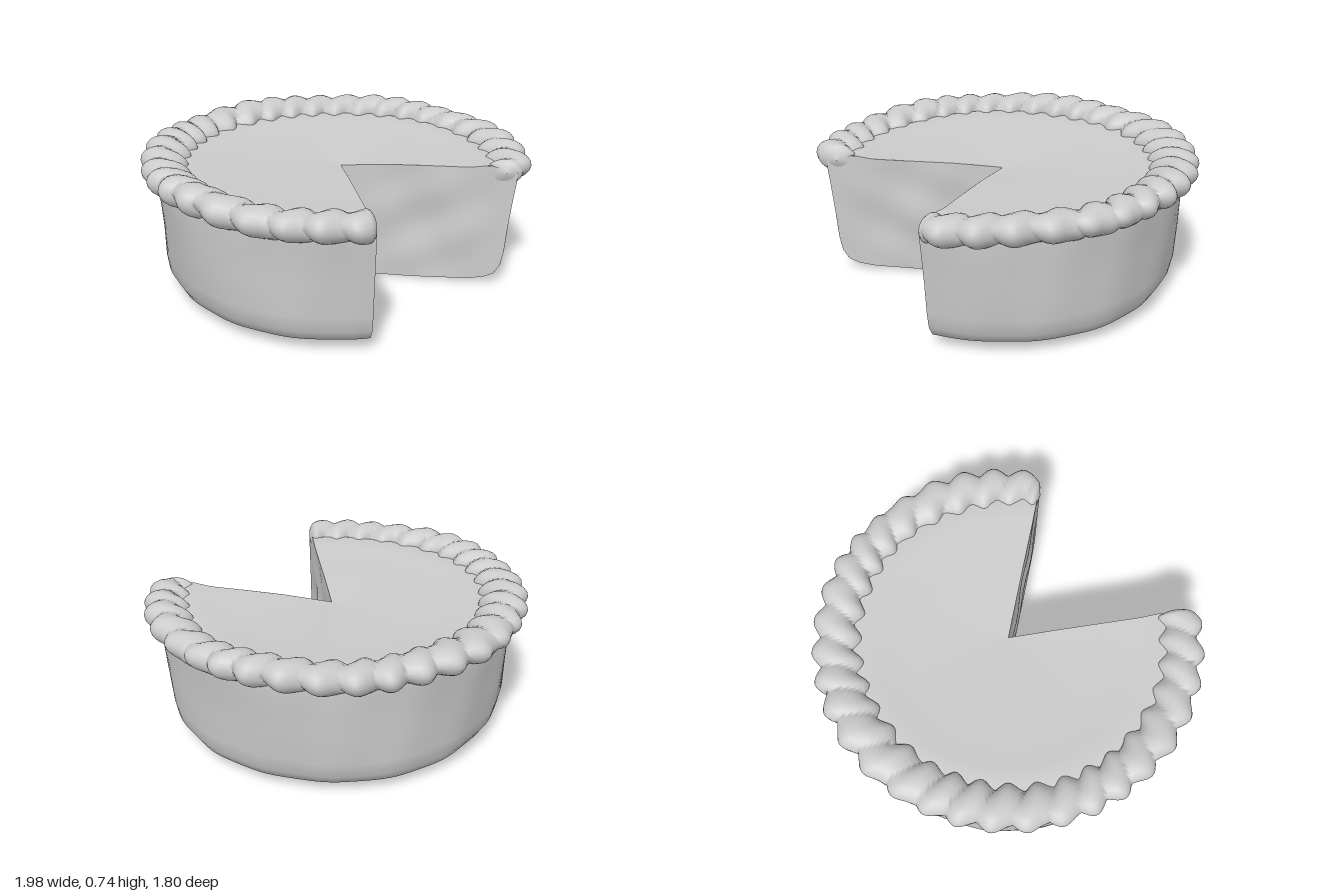
import * as THREE from 'three';
import { ParametricGeometry } from 'three/addons/geometries/ParametricGeometry.js';

const CX = 0.01, CZ = 0.1;                    // centre of the round dish shape
const START = THREE.MathUtils.degToRad(36);   // cut edges, measured from +z toward +x
const END = THREE.MathUtils.degToRad(327.3);

// profiles as [radius, height]
const BASE = [[0, 0.003], [0.4, 0.01], [0.7, 0.026], [0.79, 0.042]];
const WALL = [[0.79, 0.042], [0.845, 0.068], [0.877, 0.12], [0.891, 0.2], [0.899, 0.36], [0.908, 0.5], [0.916, 0.58], [0.916, 0.63]];
const TOP = [[0, 0.612], [0.25, 0.628], [0.5, 0.638], [0.68, 0.645], [0.78, 0.662], [0.916, 0.63]];

// linear lookup of one profile column from the other
function lookup(profile, from, to, value) {
  for (let i = 1; i < profile.length; i++) {
    const a = profile[i - 1], b = profile[i];
    if (value <= b[from] || i === profile.length - 1) {
      const t = THREE.MathUtils.clamp((value - a[from]) / (b[from] - a[from]), 0, 1);
      return a[to] + (b[to] - a[to]) * t;
    }
  }
}

// gentle hand-made unevenness shared by crust, filling and cut faces
function warp(p) {
  const a = Math.atan2(p.x, p.z), r = Math.hypot(p.x, p.z);
  const k = 1 + 0.006 * r * (Math.sin(5 * a + 7 * p.y) + 0.6 * Math.sin(17 * a - 5 * p.y));
  const lift = 0.007 * Math.sin(p.x * 4 + 1) * Math.sin(p.z * 5) * p.y;
  const tip = Math.max(0, 1 - r / 0.8) * 0.018;   // tip of the cut sits a little off centre
  return p.set(p.x * k + CX + tip, p.y + lift, p.z * k + CZ + tip);
}

function warpedLathe(profile) {
  const points = profile.map(([r, y]) => new THREE.Vector2(r, y));
  const g = new THREE.LatheGeometry(points, 120, START, END - START);
  const pos = g.attributes.position, p = new THREE.Vector3();
  for (let i = 0; i < pos.count; i++) {
    warp(p.fromBufferAttribute(pos, i));
    pos.setXYZ(i, p.x, p.y, p.z);
  }
  g.computeVertexNormals();
  return g;
}

// lumpy face where the slice was taken out
function cutFace(angle, flip) {
  return new ParametricGeometry((u, v, out) => {
    const s = flip ? 1 - u : u;
    const r = s * lookup(WALL, 1, 0, 0.042 + v * 0.588);
    const low = lookup(BASE, 0, 1, r), high = lookup(TOP, 0, 1, s * 0.916);
    const y = low + (high - low) * v;
    const edge = Math.sin(Math.PI * s) * Math.sin(Math.PI * v);
    const lump = edge * 0.008 * (Math.sin(r * 14 + y * 5) + Math.sin(y * 17 - r * 9));
    out.set(
      r * Math.sin(angle) + lump * Math.cos(angle), y,
      r * Math.cos(angle) - lump * Math.sin(angle));
    warp(out);
  }, 36, 24);
}

// twisted, pinched roll of dough that runs round the edge
function crimpedRim() {
  const TURNS = 18, TAPER = 0.045;
  return new ParametricGeometry((u, v, out) => {
    const a = START - 0.01 + u * (END - START + 0.02);
    const phi = v * Math.PI * 2;
    const c = Math.cos(phi), s = Math.sin(phi);
    // rounded ends
    const d = Math.min(u, 1 - u) * (END - START) / TAPER;
    const end = d >= 1 ? 1 : Math.sqrt(Math.max(0, 1 - (1 - d) ** 2));
    // slanted ridges separated by sharper valleys, unevenly spaced
    const skew = 0.75 * c + 0.35 * s + 0.5 * Math.sin(3 * a) + 0.4 * Math.sin(7 * a);
    const ridge = Math.pow(Math.abs(Math.sin(TURNS * a + skew)), 0.8);
    const size = 0.8 + 0.26 * ridge;
    // dough spreads further inward at the back
    const back = Math.max(0, -Math.cos(a)) ** 2 * 0.014;
    const r = 0.877 - back + 0.01 * Math.sin(2 * TURNS * a + 0.5) + (0.103 + back) * size * end * c;
    const height = 0.644 - 0.018 * Math.cos(a) + 0.012 * Math.sin(a) ** 2 + 0.006 * Math.sin(7 * a);
    const y = height + end * (0.073 * size * s + 0.012 * c);
    out.set(CX + r * Math.sin(a), y, CZ + r * Math.cos(a));
  }, 360, 20);
}

export function createModel() {
  const group = new THREE.Group();
  const material = new THREE.MeshStandardMaterial({ color: 0xcccccc, side: THREE.DoubleSide });
  const add = (name, geometry) => {
    const mesh = new THREE.Mesh(geometry, material);
    mesh.name = name;
    group.add(mesh);
  };

  // crust shell with rounded lower edge
  add('crustShell', warpedLathe([...BASE, ...WALL.slice(1)]));
  // filling surface, running under the rim and out to the wall
  add('fillingTop', warpedLathe([...TOP].reverse()));
  // two faces of the missing slice
  add('leftCutFace', cutFace(START, false));
  add('rightCutFace', cutFace(END, true));
  add('crimpedRim', crimpedRim());
  return group;
}
